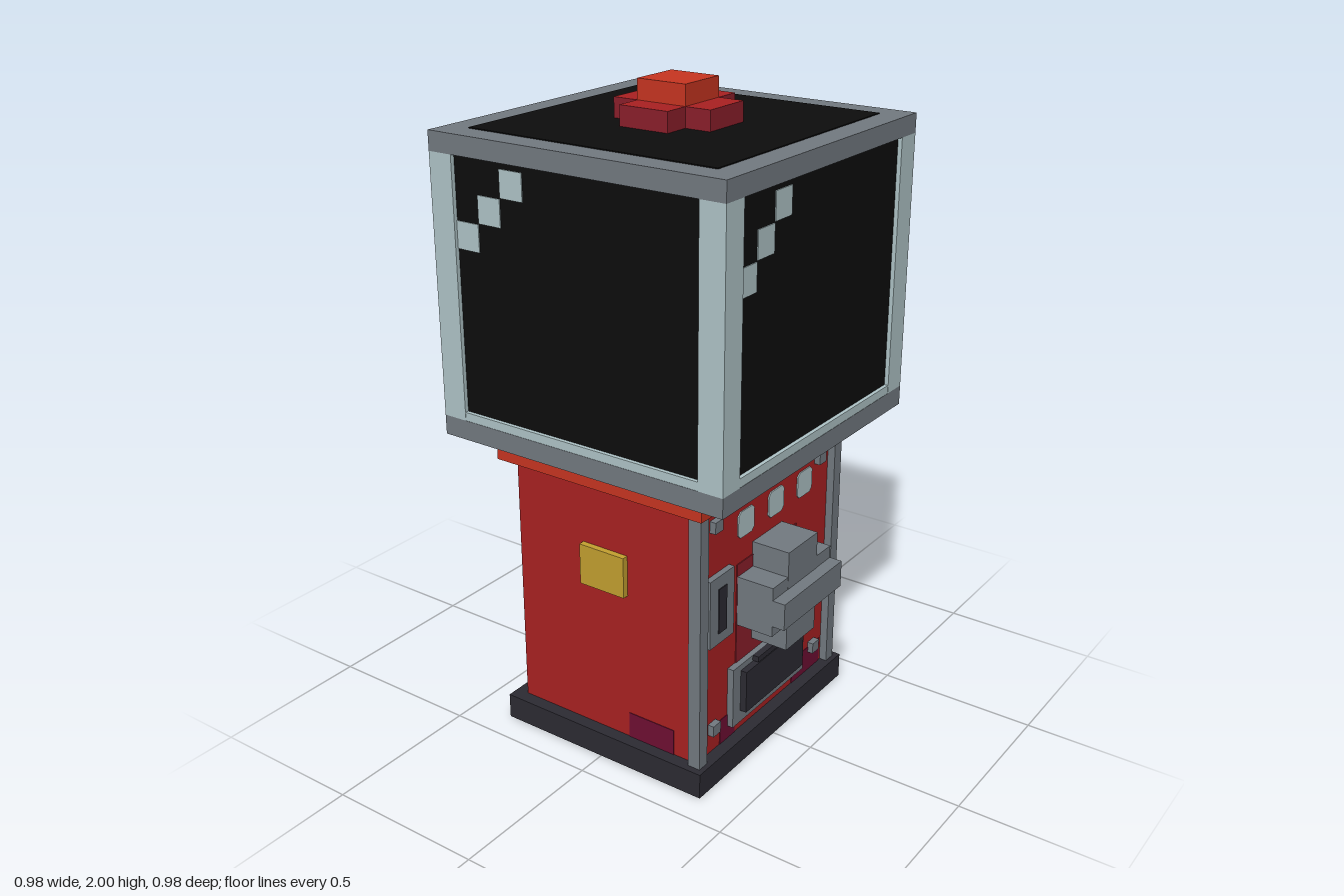
import * as THREE from 'three';

const mat = (name, color) => {
  const m = new THREE.MeshStandardMaterial({ color });
  m.name = name;
  return m;
};

export function createModel() {
  const red = mat('red', 0xaa2122), orange = mat('orange red', 0xc83521);
  const maroon = mat('maroon', 0x8c1f2b), purple = mat('purple', 0x6f0f33);
  const gray = mat('steel gray', 0x737a81), dark = mat('charcoal', 0x2c2b33);
  const pale = mat('pale blue', 0xb0c5c8), black = mat('black', 0x0d0d0d);
  const gold = mat('gold', 0xc4a030);
  const model = new THREE.Group();
  model.name = 'vendingMachine';

  // Box given by its lower and upper corner
  const box = (name, material, x0, x1, y0, y1, z0, z1, parent = model) => {
    const mesh = new THREE.Mesh(new THREE.BoxGeometry(x1 - x0, y1 - y0, z1 - z0), material);
    mesh.position.set((x0 + x1) / 2, (y0 + y1) / 2, (z0 + z1) / 2);
    mesh.name = name;
    parent.add(mesh);
    return mesh;
  };
  // Group turned about the vertical axis, so its +z faces a chosen side
  const side = (name, angle) => {
    const g = new THREE.Group();
    g.name = name;
    g.rotation.y = angle;
    model.add(g);
    return g;
  };

  // Lower cabinet
  box('base', dark, -0.407, 0.407, 0, 0.081, -0.366, 0.366);
  box('body', red, -0.366, 0.366, 0.081, 0.9, -0.325, 0.325);
  box('bodyRim', orange, -0.407, 0.407, 0.9, 0.962, -0.366, 0.366);
  box('neck', gray, -0.405, 0.405, 0.962, 0.982, -0.364, 0.364);
  for (const s of [-1, 1]) box('frontPost', gray, s * 0.366 - 0.02, s * 0.366 + 0.02, 0.081, 0.9, 0.309, 0.35);

  // Dark vents in the neck
  for (const [name, angle, w] of [['front', 0, 0.364], ['right', Math.PI / 2, 0.405], ['back', Math.PI, 0.364], ['left', -Math.PI / 2, 0.405]]) {
    const g = side(name + 'Vents', angle);
    const end = w > 0.4 ? 0.34 : 0.4;
    box('vent', dark, -0.02, 0.1, 0.964, 0.981, w, w + 0.003, g);
    box('vent', dark, end - 0.09, end, 0.964, 0.981, w, w + 0.003, g);
  }

  // Stains along the foot: [angle, distance to wall, from, to]
  const stains = [
    [0, 0.325, -0.245, -0.165], [0, 0.325, 0.165, 0.335],
    [Math.PI / 2, 0.366, -0.081, 0.081], [Math.PI / 2, 0.366, 0.245, 0.325],
    [Math.PI, 0.325, 0.165, 0.245], [Math.PI, 0.325, -0.366, -0.325],
    [-Math.PI / 2, 0.366, 0.081, 0.245],
  ];
  for (const [angle, d, a, b] of stains) box('stain', purple, a, b, 0.081, 0.165, d, d + 0.002, side('stainSide', angle));

  // Front lights with clipped corners
  for (const x of [-0.122, 0.041, 0.204]) {
    const s = new THREE.Shape();
    [[-0.03, -0.042], [0.03, -0.042], [0.042, -0.03], [0.042, 0.03], [0.03, 0.042], [-0.03, 0.042], [-0.042, 0.03], [-0.042, -0.03]]
      .forEach(([px, py], i) => (i ? s.lineTo(px, py) : s.moveTo(px, py)));
    const light = new THREE.Mesh(new THREE.ExtrudeGeometry(s, { depth: 0.004, bevelEnabled: false }), pale);
    light.position.set(x, 0.778, 0.325);
    light.name = 'frontLight';
    model.add(light);
  }

  // Bolts
  for (const x of [-0.287, 0.283]) for (const y of [0.165, 0.835]) box('bolt', gray, x - 0.019, x + 0.019, y - 0.018, y + 0.018, 0.325, 0.345);

  // Coin slot
  box('coinPlate', gray, -0.328, -0.205, 0.455, 0.675, 0.325, 0.344);
  box('coinSlot', dark, -0.286, -0.246, 0.49, 0.635, 0.344, 0.347);

  // Crank on its painted backing
  box('crankBacking', maroon, -0.165, 0.163, 0.325, 0.655, 0.325, 0.328);
  box('crankUpright', gray, -0.081, 0.081, 0.37, 0.695, 0.325, 0.45);
  box('crankCross', gray, -0.163, 0.163, 0.455, 0.615, 0.325, 0.449);
  box('crankGrip', gray, -0.163, 0.163, 0.49, 0.575, 0.449, 0.49);

  // Delivery tray
  box('trayFrame', gray, -0.205, 0.2, 0.125, 0.325, 0.325, 0.346);
  box('trayDoor', dark, -0.165, 0.163, 0.165, 0.305, 0.346, 0.367);
  box('trayHinge', dark, -0.1, 0.1, 0.308, 0.326, 0.346, 0.367);

  // Gold button on the model's right flank
  box('sideButton', gold, -0.386, -0.366, 0.565, 0.695, -0.08, 0.08);

  // Display case
  box('caseFloor', gray, -0.488, 0.488, 0.98, 1.04, -0.488, 0.488);
  box('caseWindows', black, -0.475, 0.475, 1.04, 1.82, -0.475, 0.475);
  box('caseTop', gray, -0.488, 0.488, 1.82, 1.878, -0.488, 0.488);
  box('topWindow', black, -0.41, 0.41, 1.878, 1.881, -0.41, 0.41);
  for (const x of [-1, 1]) for (const z of [-1, 1]) {
    box('casePost', pale, x * 0.448 - 0.04, x * 0.448 + 0.04, 1.04, 1.82, z * 0.448 - 0.04, z * 0.448 + 0.04);
  }
  for (let i = 0; i < 4; i++) {
    const g = side('windowSide', i * Math.PI / 2);
    box('windowSill', pale, -0.408, 0.408, 1.04, 1.066, 0.47, 0.487, g);
    // Stepped glints
    for (let k = 0; k < 3; k++) {
      const x = -0.408 + k * 0.081, y = 1.555 + k * 0.083;
      box('glint', pale, x, x + 0.079, y, y + 0.08, 0.475, 0.478, g);
    }
  }

  // Roof lamp: cross with dark sides and a bright cap
  const lampMats = [maroon, maroon, red, maroon, maroon, maroon];
  box('lampCore', lampMats, -0.081, 0.081, 1.878, 1.94, -0.163, 0.163);
  for (const s of [-1, 1]) box('lampArm', lampMats, s * 0.122 - 0.041, s * 0.122 + 0.041, 1.878, 1.94, -0.081, 0.081);
  box('lampCap', orange, -0.081, 0.081, 1.94, 2, -0.081, 0.081);

  return model;
}
